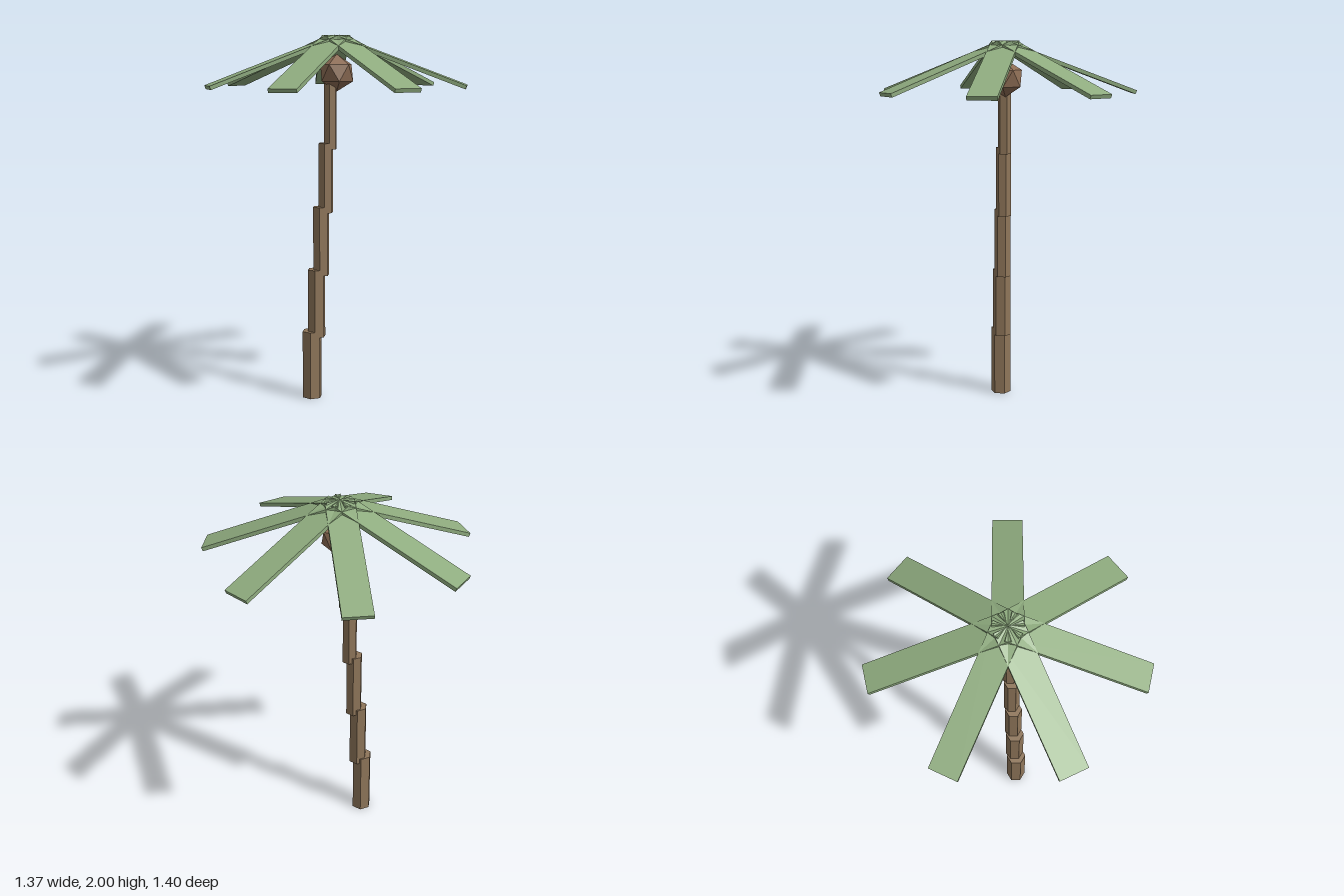
import * as THREE from 'three';

export function createModel() {
  const model = new THREE.Group();
  model.name = 'palmTree';

  const bark = new THREE.MeshStandardMaterial({ color: 0x8f765a, flatShading: true });
  bark.name = 'bark brown';
  const husk = new THREE.MeshStandardMaterial({ color: 0x8c6c54, flatShading: true });
  husk.name = 'husk brown';
  const leaf = new THREE.MeshStandardMaterial({ color: 0x8fac7f, flatShading: true });
  leaf.name = 'leaf green';

  // Trunk: five overlapping hexagonal segments, each slimmer and shifted along the lean
  const segments = 5, height = 0.38, step = 0.3475;
  for (let i = 0; i < segments; i++) {
    const radius = 0.0555 - 0.0047 * i;
    const segment = new THREE.Mesh(new THREE.CylinderGeometry(radius, radius, height, 6), bark);
    segment.name = `trunkSegment${i + 1}`;
    segment.position.set(-0.147 + 0.0248 * i, height / 2 + step * i, 0.048 - 0.0093 * i);
    model.add(segment);
  }

  // Faceted coconut under the crown
  const coconut = new THREE.Mesh(new THREE.IcosahedronGeometry(0.1, 0), husk);
  coconut.name = 'coconut';
  coconut.position.set(-0.015, 1.8, 0);
  coconut.rotation.z = 0.55;
  model.add(coconut);

  // Crown: seven flat fronds hinged at the hub and drooping outward
  const crown = new THREE.Group();
  crown.name = 'crown';
  crown.position.set(-0.018, 1.99, 0);
  const fronds = 7, length = 0.745, thickness = 0.021;
  const frondGeometry = new THREE.BoxGeometry(length, thickness, 0.152);
  frondGeometry.translate(length / 2, 0, 0);
  frondGeometry.rotateZ(-0.36);
  for (let i = 0; i < fronds; i++) {
    const frond = new THREE.Mesh(frondGeometry, leaf);
    frond.name = `frond${i + 1}`;
    frond.rotation.y = (i / fronds) * Math.PI * 2;
    crown.add(frond);
  }
  model.add(crown);

  return model;
}
